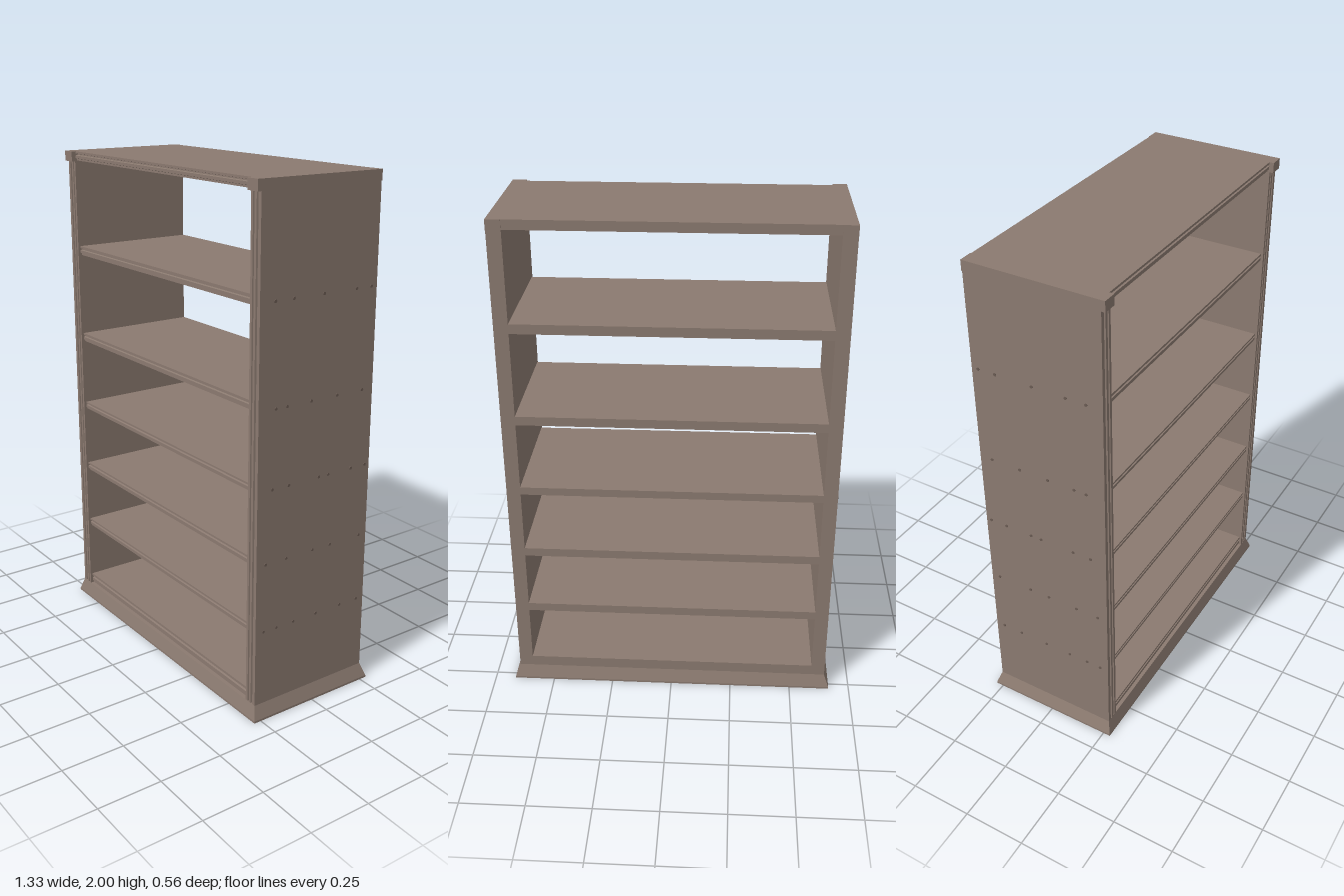
import * as THREE from 'three';

export function createModel() {
  const model = new THREE.Group();
  model.name = 'bookcase';
  const wood = new THREE.MeshStandardMaterial({ color: 0x8b7a70 });
  wood.name = 'brown wood';
  const pegWood = new THREE.MeshStandardMaterial({ color: 0x6a5b53 });
  pegWood.name = 'dark peg wood';

  const add = (geometry, name, material = wood) => {
    const mesh = new THREE.Mesh(geometry, material);
    mesh.name = name;
    model.add(mesh);
    return mesh;
  };
  const extrude = (points, depth) => new THREE.ExtrudeGeometry(
    new THREE.Shape(points.map(([x, y]) => new THREE.Vector2(x, y))),
    { depth, bevelEnabled: false });

  const BACK = -0.262;
  const INNER = 0.59;

  // Plinth: a short upright lip, then sides sloping in to the case
  const plinth = new THREE.BoxGeometry(1.33, 0.06, 0.56, 1, 2, 1);
  const pos = plinth.attributes.position;
  for (let i = 0; i < pos.count; i++) {
    const y = pos.getY(i);
    if (y > 0.02) {
      pos.setX(i, Math.sign(pos.getX(i)) * 0.645);
      pos.setZ(i, pos.getZ(i) > 0 ? 0.265 : BACK);
    } else if (y > -0.02) pos.setY(i, -0.022);
  }
  const plinthFlat = plinth.toNonIndexed();
  plinthFlat.computeVertexNormals();
  add(plinthFlat, 'plinth').position.y = 0.03;

  // Moulded board: a cross-section in depth and height, run across the case
  const addBoard = (bottom, top, front, name) => {
    const h = top - bottom;
    const section = [
      [BACK, bottom], [front - 0.006, bottom], [front - 0.006, bottom + h * 0.2],
      [front, bottom + h * 0.25], [front, bottom + h * 0.55],
      [front - 0.008, bottom + h * 0.6], [front - 0.008, bottom + h * 0.72],
      [front, bottom + h * 0.77], [front, top], [BACK, top],
    ].map(([z, y]) => [-z, y]);
    const g = extrude(section, INNER * 2);
    g.rotateY(Math.PI / 2);
    g.translate(-INNER, 0, 0);
    add(g, name);
  };
  const shelves = [[0.06, 0.105], [0.345, 0.38], [0.615, 0.65], [0.9, 0.932],
    [1.204, 1.24], [1.575, 1.613]];
  shelves.forEach(([b, t]) => addBoard(b, t, 0.255, 'shelf'));
  addBoard(1.963, 2, 0.262, 'topBoard');

  // Depths of the pegs beside each raised shelf
  const pegRows = [
    [0.36, [0.23, 0.17, 0.09, -0.02, -0.14, -0.225]],
    [0.63, [0.225, 0.13, 0.005, -0.08, -0.225]],
    [0.915, [0.2, 0.125, -0.015, -0.06, -0.17, -0.24]],
    [1.213, [0.19, 0.14, 0.03, -0.09, -0.21]],
    [1.593, [0.2, 0.12, -0.015, -0.165, -0.235]],
  ];
  const pegGeometry = new THREE.CylinderGeometry(0.006, 0.006, 0.008, 6);
  pegGeometry.rotateZ(Math.PI / 2);

  for (const side of [1, -1]) {
    // Side panel with two narrow grooves down its front edge
    const plan = [
      [0.59, BACK], [0.645, BACK], [0.645, 0.265], [0.63, 0.265], [0.628, 0.256],
      [0.622, 0.256], [0.62, 0.265], [0.609, 0.265], [0.607, 0.256],
      [0.603, 0.256], [0.601, 0.265], [0.59, 0.265],
    ].map(([x, z]) => [x * side, -z]);
    const panel = extrude(plan, 1.9);
    panel.rotateX(-Math.PI / 2);
    panel.translate(0, 0.06, 0);
    add(panel, side > 0 ? 'leftPanel' : 'rightPanel');

    // Cap block overhanging the panel at the front
    const cap = add(new THREE.BoxGeometry(0.055, 0.04, 0.545),
      side > 0 ? 'leftCap' : 'rightCap');
    cap.position.set(side * 0.6175, 1.98, 0.0075);

    // Small pegs showing on the outer face
    for (const [y, depths] of pegRows) {
      for (const z of depths) {
        add(pegGeometry, 'peg', pegWood).position.set(side * 0.644, y, z);
      }
    }
  }
  return model;
}
